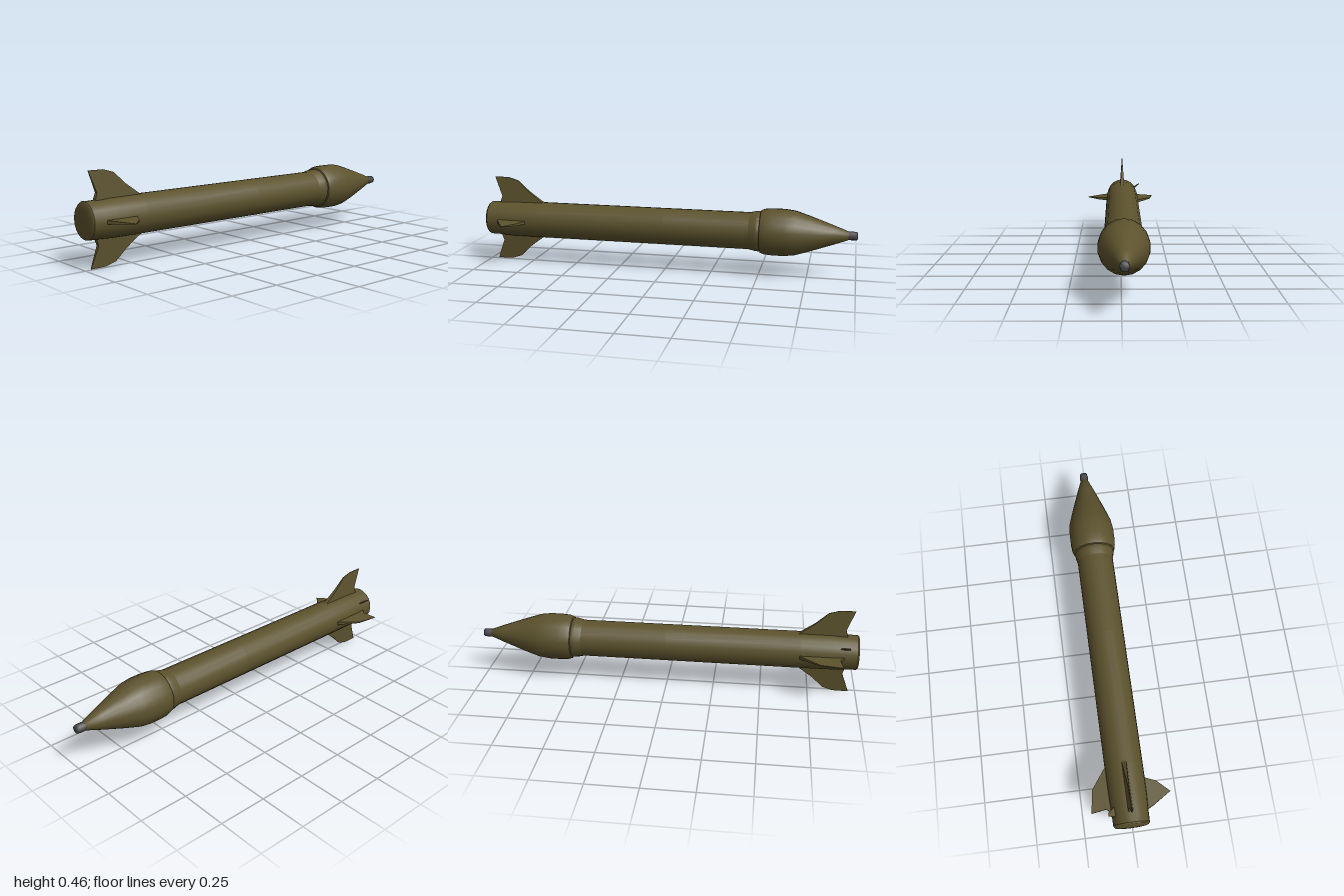
import * as THREE from 'three';

const CX = -0.012, CY = 0.235; // body axis

export function createModel() {
  const model = new THREE.Group();
  const olive = new THREE.MeshStandardMaterial({ color: 0x5c522d });
  olive.name = 'olive drab';
  const grey = new THREE.MeshStandardMaterial({ color: 0x4b4b4d });
  grey.name = 'dark grey';

  // Revolved part: profile is [radius, z] from the nose end to the tail end
  function turned(name, profile, sides, material) {
    const geo = new THREE.LatheGeometry(profile.map(([r, z]) => new THREE.Vector2(r, z)), sides);
    geo.rotateX(Math.PI / 2);
    geo.translate(CX, CY, 0);
    const mesh = new THREE.Mesh(geo, material);
    mesh.name = name;
    model.add(mesh);
  }

  turned('fuseTip', [[0, -1], [0.02, -1], [0.023, -0.985], [0.022, -0.945]], 8, grey);
  turned('warhead', [[0, -0.955], [0.022, -0.955], [0.05, -0.88], [0.092, -0.76], [0.116, -0.685],
    [0.123, -0.63], [0.123, -0.57], [0.12, -0.53], [0.113, -0.508]], 18, olive);
  turned('warheadRear', [[0.113, -0.508], [0.096, -0.5]], 18, olive);
  turned('neckRing', [[0.095, -0.51], [0.106, -0.505], [0.106, -0.485], [0.098, -0.45]], 18, olive);
  turned('bodyTube', [[0.097, -0.5], [0.097, 0], [0.097, 0.7], [0.096, 0.86], [0.092, 0.93], [0.091, 0.988]], 20, olive);
  turned('tailCap', [[0.091, 0.988], [0.084, 0.996], [0.05, 0.999], [0, 1]], 20, olive);

  // Fin: outline is [z, distance from axis]; thickness tapers from root to tip
  function fin(name, angle, outline, rootHalf) {
    const shape = new THREE.Shape(outline.map(([z, r]) => new THREE.Vector2(z, r)));
    const geo = new THREE.ExtrudeGeometry(shape, { depth: 2, bevelEnabled: false });
    const p = geo.attributes.position;
    const tip = Math.max(...outline.map((o) => o[1]));
    for (let i = 0; i < p.count; i++) {
      const t = (tip - p.getY(i)) / (tip - 0.08);
      p.setZ(i, (p.getZ(i) - 1) * (0.0015 + (rootHalf - 0.0015) * t));
    }
    const c = Math.cos(angle), s = Math.sin(angle);
    geo.applyMatrix4(new THREE.Matrix4().makeBasis(
      new THREE.Vector3(0, 0, 1), new THREE.Vector3(c, s, 0), new THREE.Vector3(-s, c, 0)));
    geo.translate(CX, CY, 0);
    geo.computeVertexNormals();
    const mesh = new THREE.Mesh(geo, olive);
    mesh.name = name;
    model.add(mesh);
  }

  // Tall vertical fins
  const tall = [[0.66, 0.08], [0.94, 0.08], [0.925, 0.125], [0.965, 0.231], [0.885, 0.23],
    [0.83, 0.213], [0.77, 0.155], [0.7, 0.103]];
  fin('topFin', Math.PI / 2, tall, 0.013);
  fin('bottomFin', -Math.PI / 2, tall, 0.013);

  // Short horizontal fins
  fin('rightFin', Math.PI, [[0.68, 0.08], [0.93, 0.08], [0.9, 0.115], [0.912, 0.19], [0.795, 0.172], [0.7, 0.102]], 0.01);
  fin('leftFin', 0, [[0.75, 0.08], [0.93, 0.08], [0.91, 0.12], [0.85, 0.214], [0.79, 0.15], [0.77, 0.1]], 0.01);

  // Small bent sliver beside the right fin
  fin('tailSliver', 2.56, [[0.89, 0.08], [0.95, 0.08], [0.945, 0.13], [0.93, 0.13]], 0.004);

  return model;
}
